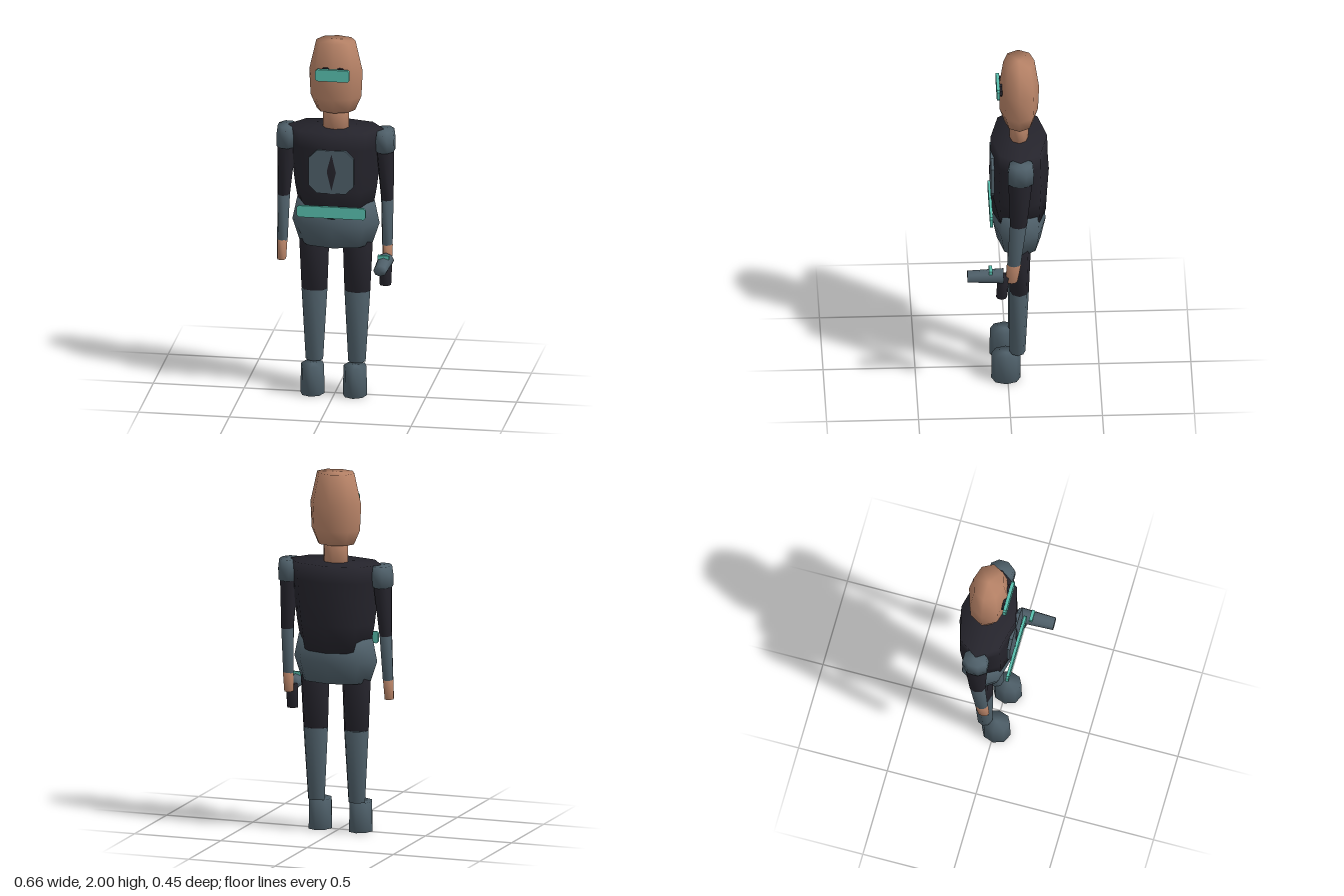
import * as THREE from 'three';

const CX = -0.005; // body axis
const CZ = -0.065;

const makeMaterial = (name, color) => {
  const m = new THREE.MeshStandardMaterial({ color });
  m.name = name;
  return m;
};

// Closed smooth body through elliptical rings [x, y, z, rx, rz], bottom to top.
function loft(rings, sides = 8, twist = 0) {
  const pos = [];
  const idx = [];
  for (const [x, y, z, rx, rz] of rings) {
    for (let k = 0; k < sides; k++) {
      const a = ((k + twist) / sides) * Math.PI * 2;
      pos.push(x + Math.sin(a) * rx, y, z + Math.cos(a) * rz);
    }
  }
  const last = rings.length - 1;
  const bottom = pos.length / 3;
  const top = bottom + 1;
  pos.push(...rings[0].slice(0, 3), ...rings[last].slice(0, 3));
  for (let k = 0; k < sides; k++) {
    const n = (k + 1) % sides;
    for (let i = 0; i < last; i++) {
      const a = i * sides + k, b = i * sides + n;
      idx.push(a, b, a + sides, b, b + sides, a + sides);
    }
    idx.push(bottom, n, k, top, last * sides + k, last * sides + n);
  }
  const g = new THREE.BufferGeometry();
  g.setAttribute('position', new THREE.Float32BufferAttribute(pos, 3));
  g.setIndex(idx);
  g.computeVertexNormals();
  return g;
}

// Flat plate with cut corners, facing +z.
function plate(x0, x1, y0, y1, z0, z1, cut) {
  const s = new THREE.Shape([
    [x0 + cut, y0], [x1 - cut, y0], [x1, y0 + cut], [x1, y1 - cut],
    [x1 - cut, y1], [x0 + cut, y1], [x0, y1 - cut], [x0, y0 + cut],
  ].map(([x, y]) => new THREE.Vector2(x, y)));
  return new THREE.ExtrudeGeometry(s, { depth: z1 - z0, bevelEnabled: false }).translate(0, 0, z0);
}

export function createModel() {
  const group = new THREE.Group();
  group.name = 'figure';
  const skin = makeMaterial('skin', 0xb98468);
  const dark = makeMaterial('darkCloth', 0x25242c);
  const slate = makeMaterial('slateArmor', 0x4f606a);
  const teal = makeMaterial('tealTrim', 0x58bfae);

  const add = (name, geometry, material) => {
    const mesh = new THREE.Mesh(geometry, material);
    mesh.name = name;
    group.add(mesh);
    return mesh;
  };
  const core = (rows) => loft(rows.map(([y, rx, rz]) => [CX, y, CZ, rx, rz]));

  // Head, neck and trunk
  add('head', core([
    [1.605, 0.105, 0.078], [1.685, 0.14, 0.104], [1.83, 0.147, 0.11], [2.0, 0.108, 0.085],
  ]), skin);
  add('neck', core([[1.49, 0.072, 0.052], [1.62, 0.072, 0.052]]), skin);
  add('torso', core([
    [1.02, 0.198, 0.146], [1.17, 0.225, 0.155], [1.29, 0.24, 0.163],
    [1.41, 0.254, 0.155], [1.505, 0.263, 0.154],
  ]), dark);
  add('pelvis', core([
    [0.845, 0.2, 0.12], [0.965, 0.24, 0.145], [1.09, 0.214, 0.134],
  ]), slate);

  // Chest plate, belt, visor and eyes
  add('chestPlate', plate(-0.13, 0.118, 1.17, 1.415, 0.073, 0.091, 0.045), slate);
  add('belt', plate(-0.195, 0.183, 1.03, 1.095, 0.083, 0.098, 0.01), teal);
  add('visor', plate(-0.1, 0.087, 1.8, 1.866, 0.04, 0.058, 0.01), teal);
  for (const s of [-1, 1]) {
    const x = CX + s * 0.04;
    add(s > 0 ? 'leftEye' : 'rightEye', plate(x - 0.033, x + 0.033, 1.805, 1.871, 0.028, 0.041, 0.02), dark);
  }

  // Limbs, mirrored about the body axis
  for (const s of [-1, 1]) {
    const side = s > 0 ? 'left' : 'right';
    const limb = (name, rows, material, twist = 0) =>
      add(side + name, loft(rows.map(([x, y, z, rx, rz]) => [CX + s * x, y, z, rx, rz]), 8, twist), material);

    limb('ShoulderPad', [
      [0.272, 1.385, -0.064, 0.054, 0.074], [0.268, 1.45, -0.065, 0.06, 0.076],
      [0.268, 1.503, -0.067, 0.053, 0.068],
    ], slate, 0.5);
    limb('UpperArm', [
      [0.285, 1.11, -0.052, 0.034, 0.046], [0.271, 1.39, -0.063, 0.05, 0.066],
      [0.266, 1.485, -0.066, 0.05, 0.066],
    ], dark);
    limb('Forearm', [
      [0.289, 0.855, -0.027, 0.029, 0.037], [0.285, 1.11, -0.051, 0.034, 0.046],
    ], slate);
    limb('Hand', [
      [0.291, 0.75, -0.014, 0.025, 0.033], [0.29, 0.86, -0.027, 0.029, 0.039],
    ], skin);
    limb('Thigh', [
      [0.118, 0.575, -0.062, 0.071, 0.053], [0.12, 0.87, -0.066, 0.083, 0.06],
    ], dark);
    limb('Shin', [
      [0.117, 0.172, -0.053, 0.048, 0.043], [0.118, 0.572, -0.062, 0.071, 0.053],
    ], slate);
    limb('Boot', [
      [0.117, 0, 0.01, 0.067, 0.08], [0.117, 0.165, 0.01, 0.063, 0.078],
    ], slate);
  }

  // Hand-held blaster: barrel along z, grip and trim band
  const barrel = loft([[0, 0.03, 0, 0.045, 0.04], [0, 0.226, 0, 0.037, 0.03]]).rotateX(Math.PI / 2);
  add('blasterBarrel', barrel.translate(0.285, 0.787, 0), slate);
  add('blasterGrip', loft([[0.284, 0.65, 0.04, 0.032, 0.03], [0.284, 0.785, 0.028, 0.036, 0.033]]), dark);
  add('blasterBand', new THREE.BoxGeometry(0.062, 0.022, 0.018).translate(0.284, 0.824, 0.1), teal);

  return group;
}
